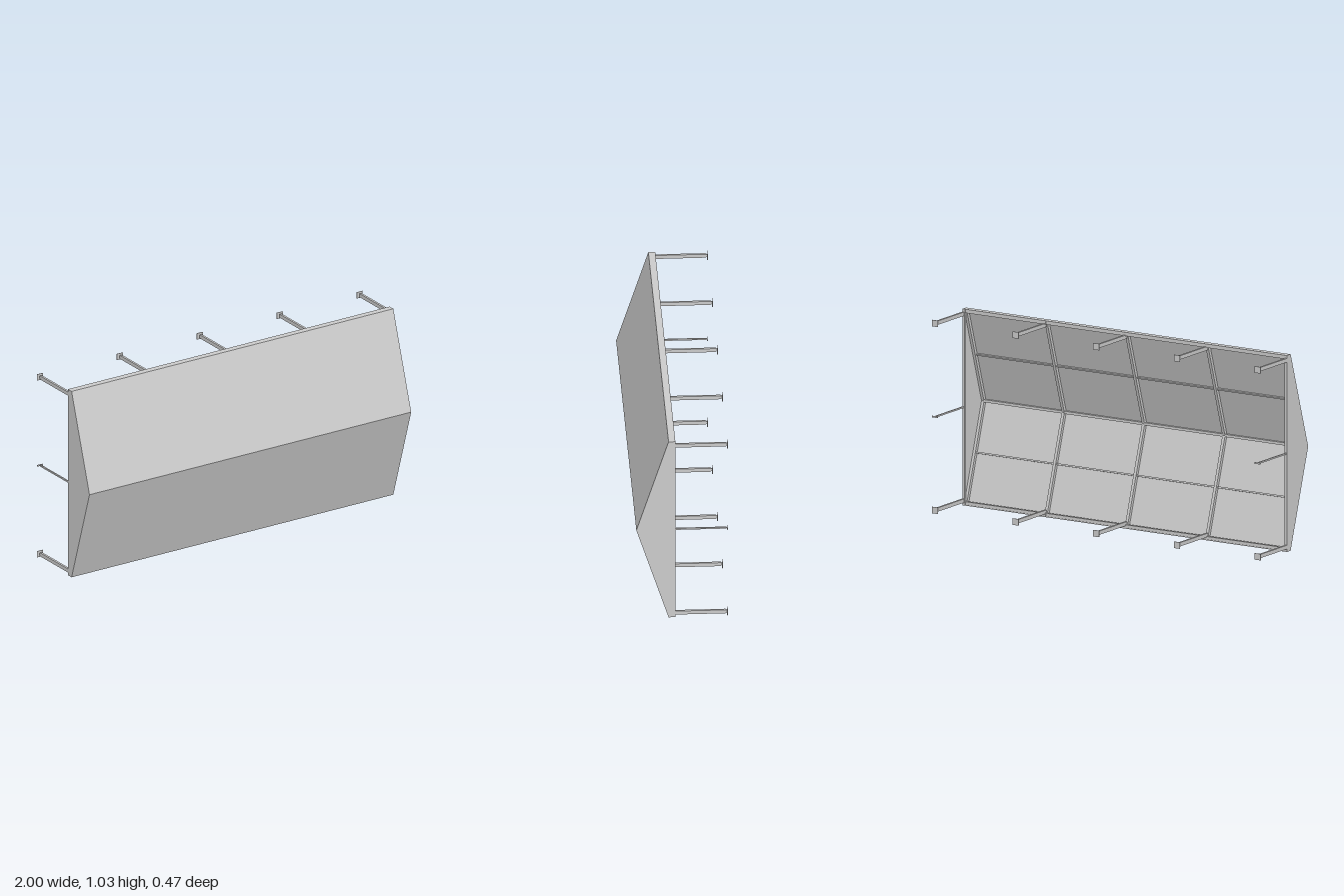
import * as THREE from 'three';

const HALF = 0.988, MID = 0.515, TOP = 1.03, BACK = 0.035, EDGE = 0.07, RIDGE = 0.235;
const SLOPE = (RIDGE - EDGE) / MID, STRETCH = Math.hypot(1, SLOPE);

export function createModel() {
  const group = new THREE.Group();
  const material = new THREE.MeshStandardMaterial({ color: 0xcccccc, flatShading: true, side: THREE.DoubleSide });

  const add = (name, geometry, x = 0, y = 0, z = 0) => {
    const mesh = new THREE.Mesh(geometry, material);
    mesh.name = name;
    mesh.position.set(x, y, z);
    group.add(mesh);
    return mesh;
  };
  const box = (name, w, h, d, x, y, z) => add(name, new THREE.BoxGeometry(w, h, d), x, y, z);

  // Folded side profile, moved inward by d; points are (z, y)
  const profile = (d) => {
    const corner = EDGE + d * SLOPE - d * STRETCH;
    return [[BACK, d], [corner, d], [RIDGE - d * STRETCH, MID], [corner, TOP - d], [BACK, TOP - d]]
      .map(([z, y]) => new THREE.Vector2(z, y));
  };
  // Sweep a side profile along x, centred on x
  const sweep = (name, points, width, x = 0) => {
    const geometry = new THREE.ExtrudeGeometry(new THREE.Shape(points), { depth: width, bevelEnabled: false });
    geometry.translate(0, 0, -width / 2);
    geometry.rotateY(-Math.PI / 2);
    return add(name, geometry, x);
  };
  const band = (outer, inner) => [...profile(outer), ...profile(inner).reverse()];

  // Folded front skin with top and bottom lips
  sweep('frontSkin', band(0, 0.004), HALF * 2);

  // Closed ends with uprights along their back edges
  for (const side of [-1, 1]) {
    sweep('endPanel', profile(0), 0.003, side * (HALF - 0.0015));
    box('endUpright', 0.012, TOP - 0.03, 0.012, side * (HALF - 0.008), MID, BACK + 0.006);
  }

  // Bent ribs
  for (let i = -2; i <= 2; i++) sweep('rib', band(0.004, 0.022), 0.016, i * 0.489);

  // Rails along the ridge and the two edges
  box('ridgeRail', HALF * 2 - 0.01, 0.014, 0.014, 0, MID, RIDGE - 0.016);
  for (const y of [0.012, TOP - 0.012]) box('edgeRail', HALF * 2 - 0.01, 0.016, 0.014, 0, y, BACK + 0.009);

  // Thin purlins halfway along each sloping face
  for (const side of [-1, 1]) {
    const purlin = box('purlin', HALF * 2 - 0.01, 0.009, 0.009, 0, MID + side * MID / 2, (EDGE + RIDGE) / 2 - 0.009);
    purlin.rotation.x = -side * Math.atan(SLOPE);
  }

  // Standoff arm: bar, narrow neck and mounting plate
  const arm = (name, x, y, w, h, plateW, plateH) => {
    box(name, w, h, 0.272, x, y, -0.086);
    const neck = new THREE.CylinderGeometry(Math.SQRT1_2, Math.SQRT1_2 * 0.5, 1, 4);
    neck.rotateY(Math.PI / 4).rotateX(Math.PI / 2).scale(w, h, 0.008);
    add(name + 'Neck', neck, x, y, -0.226);
    box(name + 'Plate', plateW, plateH, 0.003, x, y, -0.2315);
  };
  for (let i = -2; i <= 2; i++) {
    for (const y of [0.025, TOP - 0.025]) arm('standoff', i * 0.491, y, 0.012, 0.02, 0.036, 0.034);
  }
  for (const side of [-1, 1]) arm('middleStandoff', side * 0.982, MID, 0.008, 0.008, 0.034, 0.008);

  return group;
}
